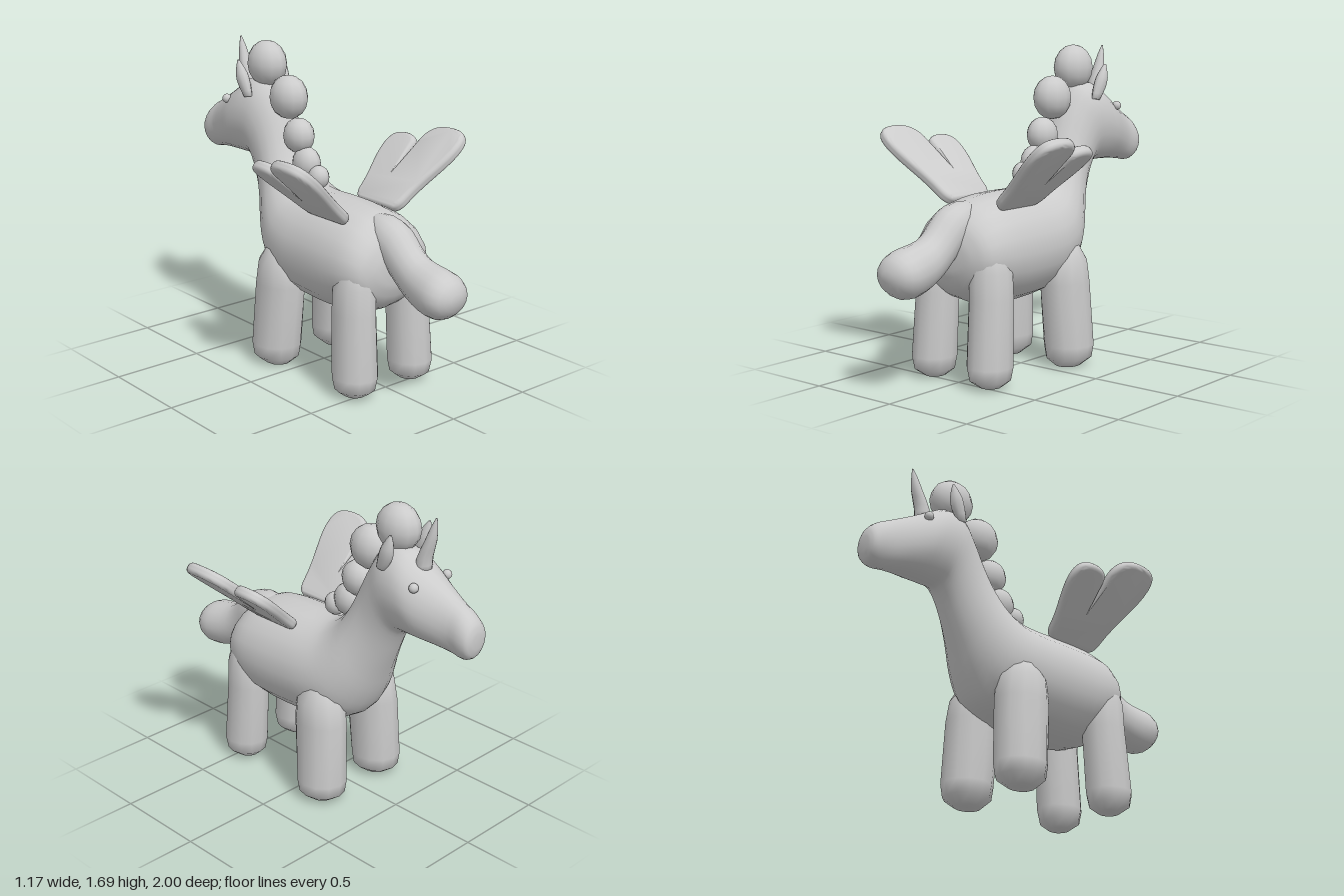
import * as THREE from 'three';
import { toCreasedNormals } from 'three/addons/utils/BufferGeometryUtils.js';

const material = new THREE.MeshStandardMaterial({ color: 0xcccccc, roughness: 0.8 });

// Skin over elliptical cross-sections. Each section: [z1, y1, z2, y2, halfWidth, centreX],
// where (z1,y1) and (z2,y2) are opposite ends of the ellipse in the side plane.
function loft(sections, sides = 12, steps = 1) {
  const ends = [0, 1].map(e => new THREE.CatmullRomCurve3(
    sections.map(s => new THREE.Vector3(s[5] || 0, s[e * 2 + 1], s[e * 2]))));
  const widths = new THREE.CatmullRomCurve3(sections.map((s, i) => new THREE.Vector3(s[4], i, 0)));
  const rings = (sections.length - 1) * steps + 1;
  const pos = [], idx = [];
  for (let i = 0; i < rings; i++) {
    const t = i / (rings - 1);
    const a = ends[0].getPoint(t), b = ends[1].getPoint(t), w = Math.max(widths.getPoint(t).x, 0.002);
    const mid = a.clone().add(b).multiplyScalar(0.5), half = a.sub(b).multiplyScalar(0.5);
    for (let j = 0; j < sides; j++) {
      const k = j / sides * Math.PI * 2, s = Math.sin(k);
      pos.push(mid.x + w * Math.cos(k), mid.y + half.y * s, mid.z + half.z * s);
      if (i < rings - 1) {
        const n = (j + 1) % sides, p = i * sides, q = p + sides;
        idx.push(p + j, p + n, q + n, p + j, q + n, q + j);
      }
    }
  }
  // End caps
  for (const [ring, flip] of [[0, true], [rings - 1, false]]) {
    const c = pos.length / 3, s = sections[ring ? sections.length - 1 : 0];
    pos.push(s[5] || 0, (s[1] + s[3]) / 2, (s[0] + s[2]) / 2);
    for (let j = 0; j < sides; j++) {
      const p = ring * sides + j, n = ring * sides + (j + 1) % sides;
      idx.push(c, flip ? n : p, flip ? p : n);
    }
  }
  const g = new THREE.BufferGeometry();
  g.setAttribute('position', new THREE.Float32BufferAttribute(pos, 3));
  g.setIndex(idx);
  g.computeVertexNormals();
  return g;
}

// Two-lobed wing outline: x runs along the body, y runs from root to tip
function wingGeometry() {
  const s = new THREE.Shape();
  s.moveTo(0.12, -0.02);
  s.lineTo(0.36, -0.02);
  s.quadraticCurveTo(0.40, -0.01, 0.41, 0.05);
  s.bezierCurveTo(0.43, 0.2, 0.505, 0.32, 0.505, 0.43);
  s.bezierCurveTo(0.505, 0.53, 0.44, 0.535, 0.37, 0.535);
  s.bezierCurveTo(0.27, 0.535, 0.225, 0.48, 0.222, 0.4);
  s.lineTo(0.213, 0.2);
  s.lineTo(0.207, 0.38);
  s.bezierCurveTo(0.2, 0.43, 0.15, 0.44, 0.11, 0.44);
  s.bezierCurveTo(0.03, 0.44, 0.005, 0.4, 0.005, 0.33);
  s.bezierCurveTo(0.01, 0.23, 0.055, 0.15, 0.065, 0.05);
  s.quadraticCurveTo(0.07, -0.01, 0.12, -0.02);
  const g = new THREE.ExtrudeGeometry(s, {
    depth: 0.012, bevelThickness: 0.024, bevelSize: 0.024, bevelOffset: -0.024,
    bevelSegments: 4, curveSegments: 8,
  });
  g.translate(0, 0, -0.006);
  return toCreasedNormals(g, 0.9);
}

export function createModel() {
  const model = new THREE.Group();
  const add = (name, geometry, x = 0, y = 0, z = 0) => {
    const m = new THREE.Mesh(geometry, material);
    m.name = name;
    m.position.set(x, y, z);
    model.add(m);
    return m;
  };

  // Head, neck and trunk in one skin, from muzzle to rump
  add('body', loft([
    [-1.0, 1.18, -0.998, 1.1, 0.04],
    [-0.985, 1.23, -0.98, 1.05, 0.075],
    [-0.94, 1.275, -0.94, 1.03, 0.088],
    [-0.87, 1.315, -0.87, 1.04, 0.092],
    [-0.75, 1.38, -0.79, 1.05, 0.125],
    [-0.64, 1.445, -0.70, 1.055, 0.158],
    [-0.54, 1.5, -0.62, 1.055, 0.164],
    [-0.43, 1.49, -0.55, 1.05, 0.158],
    [-0.35, 1.39, -0.51, 1.0, 0.148],
    [-0.29, 1.27, -0.455, 0.88, 0.152],
    [-0.23, 1.14, -0.40, 0.75, 0.18],
    [-0.16, 1.035, -0.34, 0.6, 0.225],
    [-0.08, 0.98, -0.26, 0.48, 0.262],
    [0, 0.965, -0.11, 0.41, 0.284],
    [0.14, 0.965, 0.1, 0.385, 0.292],
    [0.33, 0.955, 0.32, 0.39, 0.295],
    [0.46, 0.925, 0.46, 0.43, 0.28],
    [0.55, 0.85, 0.55, 0.5, 0.23],
    [0.59, 0.75, 0.59, 0.6, 0.12],
  ], 20, 3));

  // Tail, drooping to a rounded end
  add('tail', loft([
    [0.38, 0.93, 0.42, 0.85, 0.05],
    [0.50, 0.94, 0.49, 0.74, 0.1],
    [0.61, 0.905, 0.56, 0.67, 0.105],
    [0.69, 0.83, 0.62, 0.61, 0.1],
    [0.76, 0.78, 0.71, 0.55, 0.107],
    [0.85, 0.76, 0.82, 0.51, 0.124],
    [0.92, 0.745, 0.91, 0.505, 0.129],
    [0.975, 0.71, 0.97, 0.54, 0.1],
    [1.0, 0.66, 1.0, 0.6, 0.04],
  ], 16, 2));

  // Mane: a row of beads up the neck [y, z, half width, radius]
  [[1.03, -0.03, 0.055, 0.062], [1.085, -0.13, 0.07, 0.09], [1.225, -0.195, 0.08, 0.095],
    [1.42, -0.28, 0.097, 0.118], [1.575, -0.465, 0.1, 0.125]].forEach(([y, z, w, r], i) => {
    add('maneBead' + (i + 1), new THREE.SphereGeometry(1, 12, 8), -0.012, y, z).scale.set(w, r, r);
  });

  // Horn, curving up from the forehead
  add('horn', loft([
    [-0.685, 1.40, -0.60, 1.40, 0.045],
    [-0.69, 1.48, -0.61, 1.47, 0.043],
    [-0.715, 1.57, -0.65, 1.56, 0.032],
    [-0.72, 1.64, -0.685, 1.64, 0.018],
    [-0.719, 1.69, -0.712, 1.69, 0.004],
  ], 10, 2));

  const wing = wingGeometry();
  for (const side of [1, -1]) {
    const label = side > 0 ? 'left' : 'right';

    // Legs, thick with rounded feet
    add(label + 'FrontLeg', loft([
      [-0.06, 0.68, -0.20, 0.68, 0.07, side * 0.185],
      [0.01, 0.58, -0.26, 0.58, 0.12, side * 0.19],
      [0.02, 0.46, -0.28, 0.46, 0.125, side * 0.195],
      [-0.01, 0.12, -0.29, 0.12, 0.132, side * 0.208],
      [-0.02, 0.05, -0.28, 0.05, 0.12, side * 0.208],
      [-0.07, 0.006, -0.22, 0.006, 0.065, side * 0.208],
    ], 12));
    add(label + 'HindLeg', loft([
      [0.53, 0.72, 0.40, 0.72, 0.07, side * 0.18],
      [0.57, 0.6, 0.34, 0.6, 0.11, side * 0.18],
      [0.575, 0.46, 0.335, 0.46, 0.112, side * 0.183],
      [0.60, 0.12, 0.35, 0.12, 0.118, side * 0.19],
      [0.585, 0.05, 0.365, 0.05, 0.105, side * 0.19],
      [0.53, 0.012, 0.41, 0.012, 0.055, side * 0.19],
    ], 12));

    // Ear, a flattened leaf
    add(label + 'Ear', loft([
      [-0.51, 1.40, -0.455, 1.41, 0.018, side * 0.13],
      [-0.55, 1.46, -0.47, 1.47, 0.03, side * 0.132],
      [-0.565, 1.52, -0.495, 1.53, 0.03, side * 0.136],
      [-0.558, 1.595, -0.545, 1.595, 0.006, side * 0.14],
    ], 10, 2));

    add(label + 'Eye', new THREE.SphereGeometry(0.025, 12, 8), side * 0.122, 1.36, -0.69);

    // Wing, raised outward from the back
    const angle = 0.715;
    const c = side * Math.cos(angle), s = Math.sin(angle);
    const blade = add(label + 'Wing', wing);
    blade.applyMatrix4(new THREE.Matrix4().makeBasis(
      new THREE.Vector3(0, 0, 1), new THREE.Vector3(c, s, 0), new THREE.Vector3(-s, c, 0)));
    blade.position.set(side * 0.17, 0.92, 0);
  }

  return model;
}
